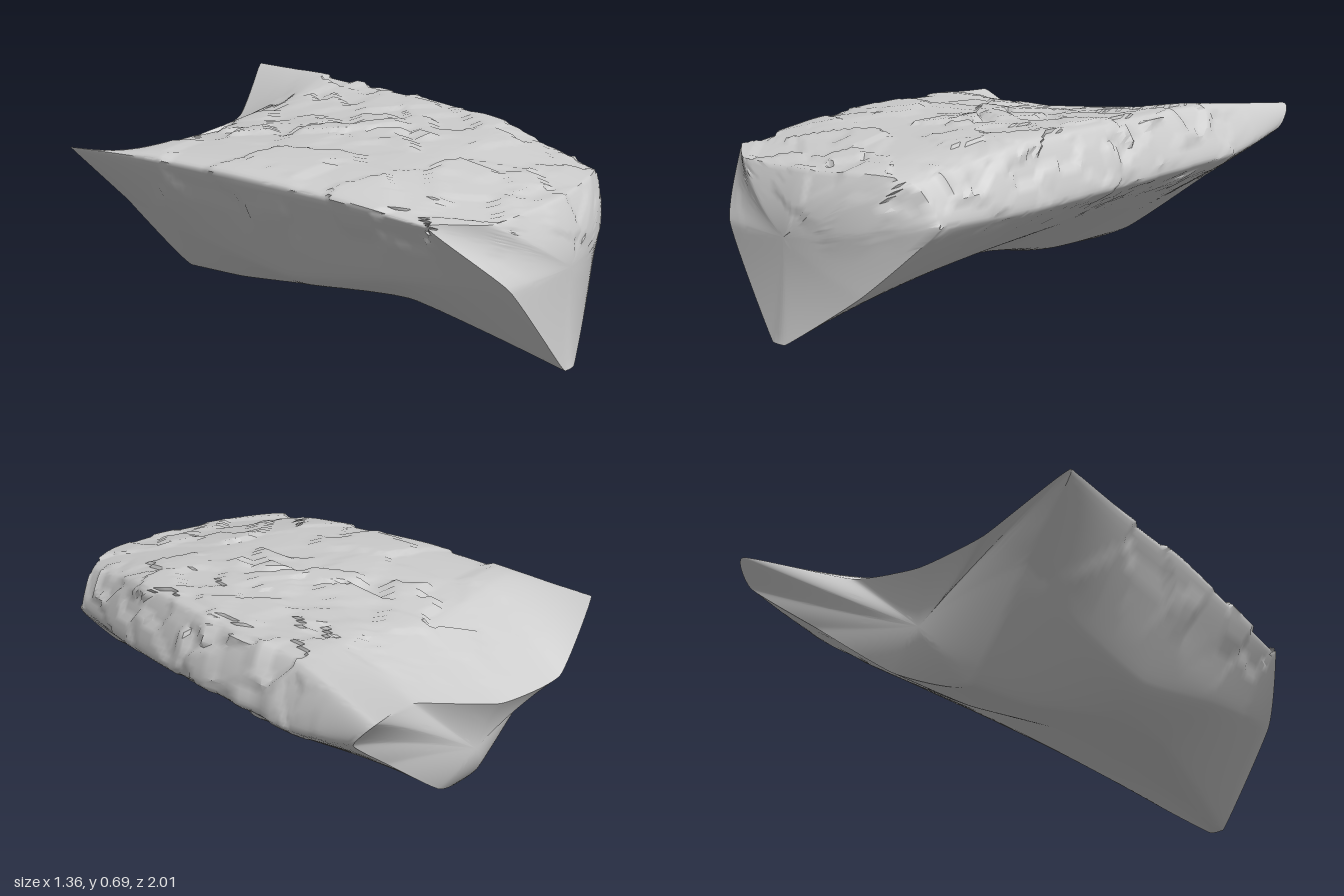
import * as THREE from 'three';
import { mergeVertices, toCreasedNormals } from 'three/addons/utils/BufferGeometryUtils.js';

const curve = (points, closed = false) => new THREE.CatmullRomCurve3(points, closed, 'catmullrom', 0.25);
const rail = (...points) => curve(points.map((p) => new THREE.Vector3(...p)));

// Edge lines of the boulder, each running from back to front, in order around it
const rails = [
  /* right rim */ rail([-.68, .62, -.72], [-.63, .63, -.4], [-.59, .63, 0], [-.53, .61, .4], [-.48, .58, .75]),
  /* top right */ rail([-.4, .43, -.83], [-.38, .64, -.45], [-.34, .67, 0], [-.32, .655, .45], [-.3, .57, .88]),
  /* top middle */ rail([-.1, .42, -.83], [-.05, .62, -.5], [0, .675, 0], [0, .66, .45], [.05, .58, .91]),
  /* top left */ rail([.28, .53, -.79], [.32, .66, -.5], [.34, .68, 0], [.3, .665, .45], [.3, .59, .87]),
  /* left shoulder */ rail([.64, .66, -1], [.57, .69, -.55], [.56, .675, 0], [.52, .65, .4], [.46, .57, .8]),
  /* left flank */ rail([.67, .57, -.93], [.68, .51, -.62], [.64, .47, 0], [.59, .44, .4], [.53, .43, .77]),
  /* left undercut */ rail([.42, .37, -.82], [.42, .32, -.5], [.4, .31, 0], [.35, .26, .4], [.3, .19, .89]),
  /* left keel */ rail([.09, .12, -.74], [.05, .1, -.4], [.02, .14, 0], [.05, .15, .45], [.04, 0, 1]),
  /* right keel */ rail([-.17, .04, -.63], [-.17, .06, -.35], [-.2, .13, .05], [-.15, .16, .45], [-.03, .01, 1]),
  /* right flank */ rail([-.46, .38, -.68], [-.4, .28, -.35], [-.36, .22, .05], [-.34, .3, .5], [-.3, .36, .95]),
];

// Seeded random numbers
function seeded(seed) {
  return () => {
    seed = (seed * 16807) % 2147483647;
    return seed / 2147483647;
  };
}

// Chips: every surface point takes the depth of its nearest cell, which leaves broken ledges
function makeChips(count) {
  const rnd = seeded(4711);
  const cells = Array.from({ length: count }, () => ({
    p: new THREE.Vector3(-.7 + 1.4 * Math.sqrt(rnd()), .35 + .35 * rnd(), -1 + 2 * rnd()),
    depth: rnd(),
  }));
  return (v) => {
    let best = Infinity;
    let depth = 0;
    for (const c of cells) {
      const d = c.p.distanceToSquared(v);
      if (d < best) {
        best = d;
        depth = c.depth;
      }
    }
    return depth;
  };
}

function boulderGeometry() {
  const around = 130, along = 84, cap = 16;
  const rows = [];
  const ringAt = (t) => {
    const ring = curve(rails.map((r) => r.getPoint(t)), true);
    return Array.from({ length: around }, (_, i) => ring.getPoint(i / around));
  };
  // End faces bulge: the depth reaches the centre sooner than the outline does
  const shrink = (ring, centre, s) => ring.map((p) => {
    const q = p.clone().lerp(centre, s);
    q.z = THREE.MathUtils.lerp(p.z, centre.z, 1 - (1 - s) ** 2);
    return q;
  });

  // Back face, body and front face form one closed skin
  const back = ringAt(0), front = ringAt(1);
  const backCentre = new THREE.Vector3(-.05, .24, -.77);
  const frontCentre = new THREE.Vector3(.02, .36, .98);
  for (let k = cap; k > 0; k--) rows.push(shrink(back, backCentre, k / cap));
  for (let j = 0; j <= along; j++) rows.push(ringAt(j / along));
  for (let k = 1; k <= cap; k++) rows.push(shrink(front, frontCentre, k / cap));

  // Sink the chips on the top, the front and the left flank; the underside and back stay smooth
  const chip = makeChips(420);
  const positions = [];
  for (const p of rows.flat()) {
    const weight = THREE.MathUtils.smoothstep(p.y, .3, .5) * THREE.MathUtils.smoothstep(p.z, -.85, -.45);
    const inward = new THREE.Vector3(0, .35, THREE.MathUtils.clamp(p.z, -.7, .7)).sub(p).normalize();
    const q = p.clone().addScaledVector(inward, .026 * weight * (chip(p) - .3));
    positions.push(q.x, Math.max(q.y, 0), q.z);
  }

  // The first and last rows each meet in one point, so they need one triangle per step
  const index = [];
  for (let r = 0; r < rows.length - 1; r++) {
    for (let i = 0; i < around; i++) {
      const a = r * around + i, b = r * around + ((i + 1) % around);
      const c = b + around, d = a + around;
      if (r < rows.length - 2) index.push(a, d, c);
      if (r > 0) index.push(a, c, b);
    }
  }

  const geometry = new THREE.BufferGeometry();
  geometry.setAttribute('position', new THREE.Float32BufferAttribute(positions, 3));
  geometry.setIndex(index);
  return toCreasedNormals(mergeVertices(geometry, 1e-5), THREE.MathUtils.degToRad(50));
}

export function createModel() {
  const group = new THREE.Group();
  group.name = 'boulder';
  const stone = new THREE.MeshStandardMaterial({ color: 0xcccccc });
  const rock = new THREE.Mesh(boulderGeometry(), stone);
  rock.name = 'rock';
  group.add(rock);
  return group;
}
